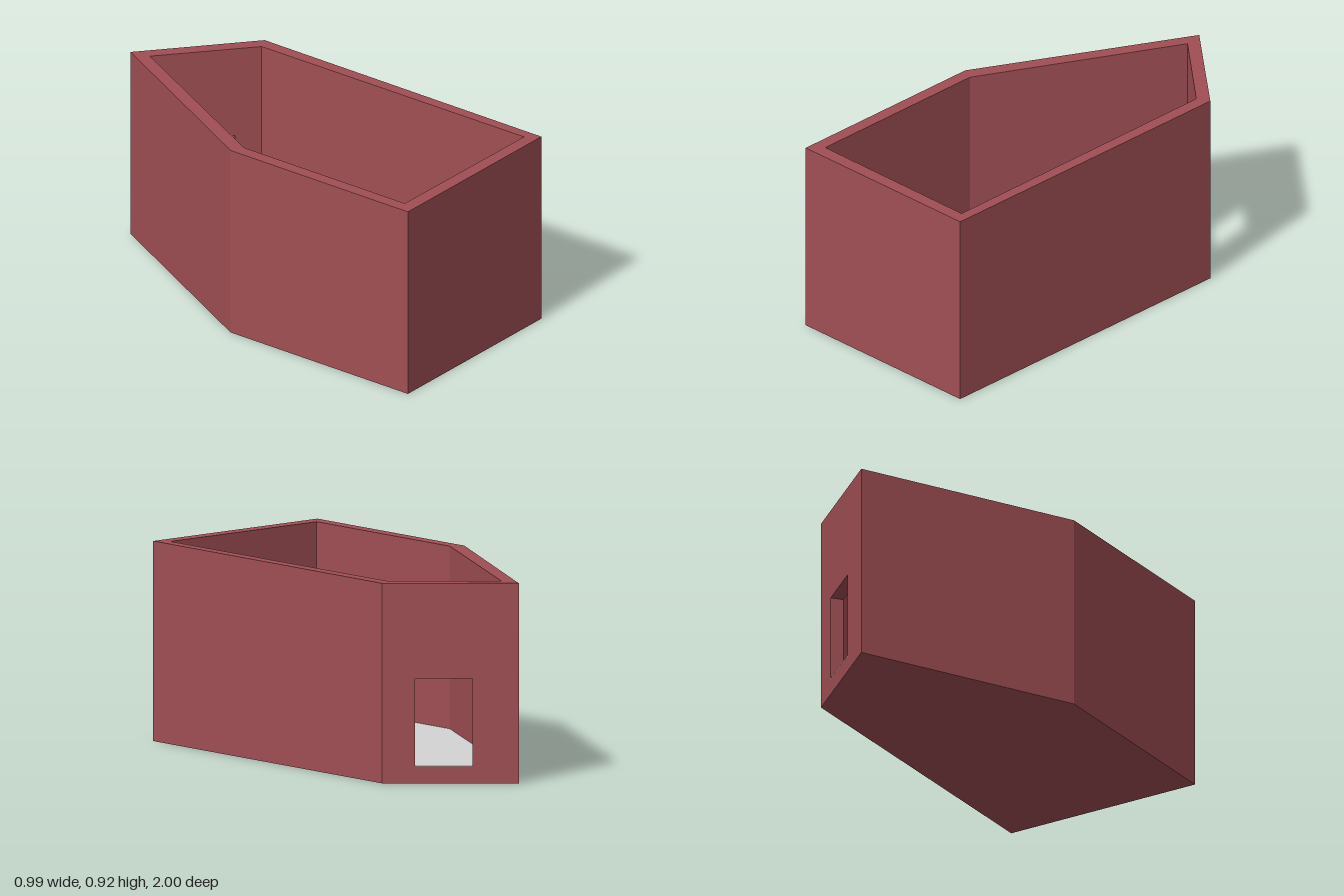
import * as THREE from 'three';

const HEIGHT = 0.915, FLOOR = 0.08, LINTEL = 0.48, PLATE = 0.004;

// Plan corners as [x, z], outer and inner faces of the walls
const OUTER = [[-0.495, 1.0], [0.485, 0.995], [0.49, -0.6], [0.02, -1.0], [-0.495, -0.02]];
const INNER = [[-0.435, 0.935], [0.435, 0.935], [0.43, -0.57], [0.04, -0.905], [-0.435, 0.01]];

export function createModel() {
  const red = new THREE.MeshStandardMaterial({ color: 0xa04f54 });
  red.name = 'brick red';
  const grey = new THREE.MeshStandardMaterial({ color: 0xd4d4d4 });
  grey.name = 'floor grey';

  const group = new THREE.Group();
  group.name = 'openRoom';

  // Upright prism over a plan polygon
  const prism = (name, plan, y0, y1, material) => {
    const shape = new THREE.Shape(plan.map(([x, z]) => new THREE.Vector2(x, -z)));
    const geometry = new THREE.ExtrudeGeometry(shape, { depth: y1 - y0, bevelEnabled: false });
    geometry.rotateX(-Math.PI / 2);
    geometry.translate(0, y0, 0);
    const mesh = new THREE.Mesh(geometry, material);
    mesh.name = name;
    group.add(mesh);
  };

  const lerp = (p, q, t) => [p[0] + (q[0] - p[0]) * t, p[1] + (q[1] - p[1]) * t];

  // Solid walls, mitred at the corners
  const names = ['frontWall', 'leftWall', 'doorWall', 'slantedWall', 'rightWall'];
  const doorIndex = 2;
  names.forEach((name, i) => {
    if (i === doorIndex) return;
    const j = (i + 1) % names.length;
    prism(name, [OUTER[i], OUTER[j], INNER[j], INNER[i]], 0, HEIGHT, red);
  });

  // Wall with the doorway: square jambs, found by projecting onto the inner face
  const [A, B] = [OUTER[doorIndex], OUTER[doorIndex + 1]];
  const [a, b] = [INNER[doorIndex], INNER[doorIndex + 1]];
  const project = (p) => {
    const d = [b[0] - a[0], b[1] - a[1]];
    const s = ((p[0] - a[0]) * d[0] + (p[1] - a[1]) * d[1]) / (d[0] * d[0] + d[1] * d[1]);
    return lerp(a, b, s);
  };
  const P = lerp(A, B, 0.24), Q = lerp(A, B, 0.66);
  const p = project(P), q = project(Q);
  const opening = [P, Q, q, p];
  prism('doorWallLeftPart', [A, P, p, a], 0, HEIGHT, red);
  prism('doorWallRightPart', [Q, B, b, q], 0, HEIGHT, red);
  prism('doorLintel', opening, LINTEL, HEIGHT, red);
  prism('doorStep', opening, 0, FLOOR - PLATE, red);

  // Base slab with the pale floor on top, running out through the doorway
  prism('baseSlab', INNER, 0, FLOOR - PLATE, red);
  prism('floor', INNER, FLOOR - PLATE, FLOOR, grey);
  prism('doorSill', opening, FLOOR - PLATE, FLOOR, grey);

  return group;
}
